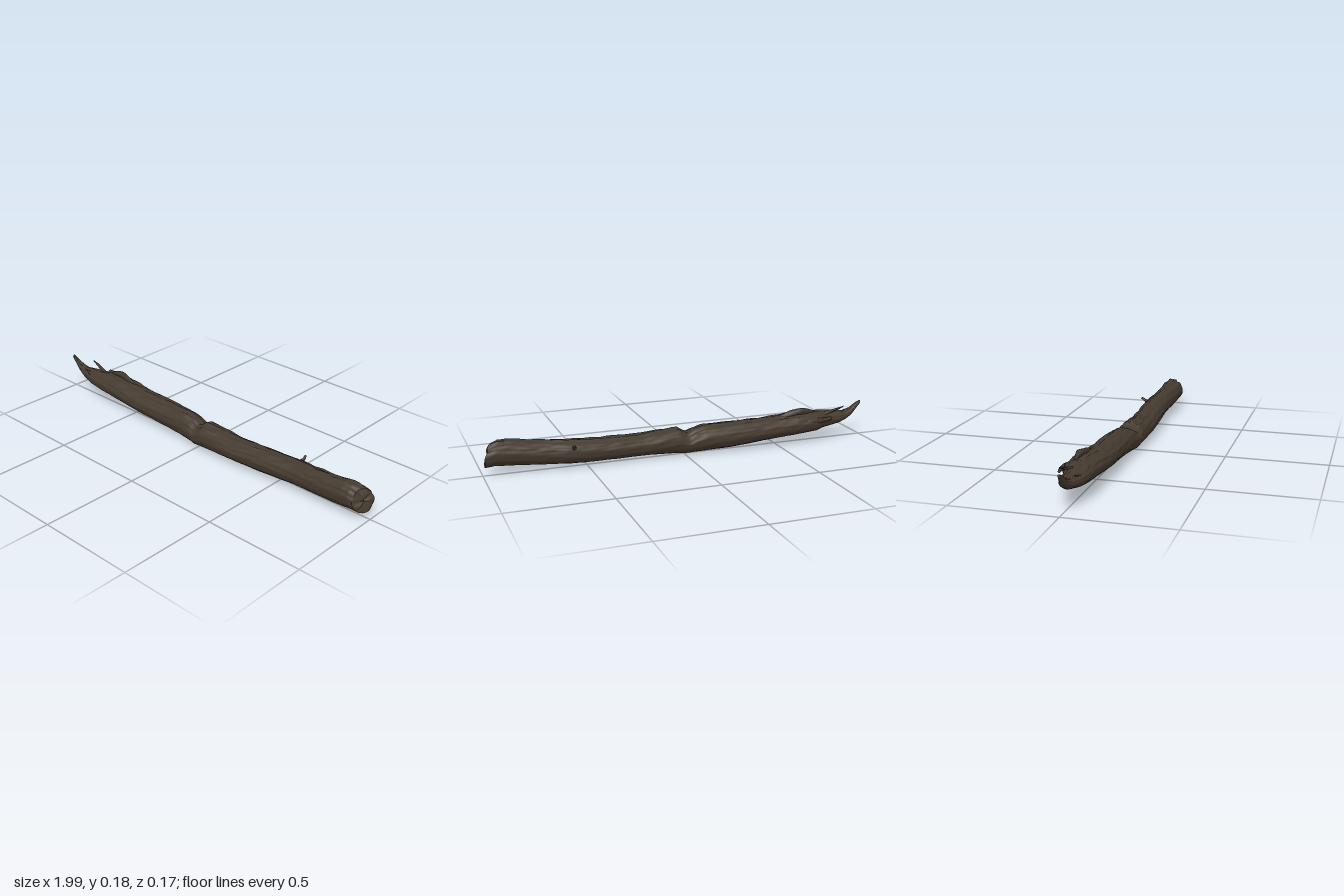
import * as THREE from 'three';

// Log outline along its length: x, bottom y, top y, back z, front z
const rows = [
  [-1.0, 0.17, 0.188, -0.004, 0.010], [-0.975, 0.143, 0.177, -0.010, 0.014],
  [-0.94, 0.110, 0.152, -0.022, 0.020], [-0.90, 0.090, 0.140, -0.032, 0.030],
  [-0.86, 0.080, 0.143, -0.048, 0.040], [-0.82, 0.072, 0.148, -0.050, 0.052],
  [-0.77, 0.065, 0.152, -0.062, 0.058], [-0.72, 0.056, 0.157, -0.084, 0.061],
  [-0.60, 0.045, 0.158, -0.087, 0.065], [-0.45, 0.034, 0.147, -0.084, 0.069],
  [-0.25, 0.017, 0.143, -0.077, 0.064], [-0.10, 0.009, 0.140, -0.064, 0.070],
  [-0.05, 0.007, 0.128, -0.060, 0.074], [-0.02, 0.005, 0.112, -0.056, 0.078],
  [0.005, 0.006, 0.120, -0.054, 0.080], [0.03, 0.008, 0.138, -0.053, 0.081],
  [0.12, 0.012, 0.133, -0.051, 0.084], [0.22, 0.015, 0.124, -0.050, 0.084],
  [0.40, 0.016, 0.129, -0.055, 0.075], [0.52, 0.018, 0.133, -0.060, 0.067],
  [0.60, 0.023, 0.138, -0.060, 0.064], [0.68, 0.028, 0.143, -0.048, 0.067],
  [0.80, 0.034, 0.154, -0.040, 0.074], [0.88, 0.039, 0.165, -0.037, 0.077],
  [0.95, 0.043, 0.164, -0.036, 0.077], [1.0, 0.038, 0.153, -0.034, 0.072],
];
const SIDES = 56, STEPS = 200;

function outline(x) {
  let i = 0;
  while (i < rows.length - 2 && x > rows[i + 1][0]) i++;
  const t = (x - rows[i][0]) / (rows[i + 1][0] - rows[i][0]);
  return rows[i].map((v, k) => v + (rows[i + 1][k] - v) * t);
}

// Long wandering grooves and bumps in the bark, strongest on top and to the broken end
function barkDepth(x, a) {
  const up = Math.max(0, Math.cos(a));
  const rough = 0.35 + 0.65 * up + (x < -0.5 ? 0.4 * up : 0);
  const grain = 0.0022 * Math.sin(11 * a + 4 * Math.sin(5 * x) + 3 * x)
    + 0.0016 * Math.sin(19 * a + 9 * x + 2 * Math.sin(17 * x))
    + 0.0018 * Math.sin(23 * x + 3 * a) * Math.sin(5 * a + 31 * x);
  const seam = (a0) => {
    const d = Math.atan2(Math.sin(a - a0), Math.cos(a - a0));
    return Math.exp(-d * d / 0.012);
  };
  const cracks = 0.008 * seam(0.35 + 0.3 * Math.sin(7 * x)) * Math.max(0, Math.sin(6 * x + 1))
    + 0.006 * seam(-0.6 + 0.25 * Math.sin(9 * x + 1)) * Math.max(0, Math.sin(5 * x + 4));
  return grain * rough - cracks;
}

function barkPoint(x, a) {
  const [, yb, yt, zb, zf] = outline(x);
  const ry = (yt - yb) / 2, rz = (zf - zb) / 2;
  const k = 1 + barkDepth(x, a) / 0.06;
  const y = (yb + yt) / 2 + Math.cos(a) * ry * k;
  const z = (zb + zf) / 2 + Math.sin(a) * rz * k;
  // Slanted cut at the right end
  const w = Math.max(0, (x - 0.88) / 0.12);
  const cut = w * (0.021 * (1 + Math.sin(a)) + 0.011 * (1 + Math.cos(a)) + 0.003 * Math.sin(5 * a));
  return new THREE.Vector3(x - cut, Math.max(0, y), z);
}

// Joins equal rings of points, running towards +x
function loft(rings) {
  const n = rings[0].length, index = [];
  for (let i = 0; i < rings.length - 1; i++) {
    for (let j = 0; j < n; j++) {
      const a = i * n + j, b = i * n + (j + 1) % n;
      index.push(a, b, a + n, b, b + n, a + n);
    }
  }
  const g = new THREE.BufferGeometry().setFromPoints(rings.flat());
  g.setIndex(index);
  g.computeVertexNormals();
  return g;
}

function ring(x) {
  return Array.from({ length: SIDES }, (_, j) => barkPoint(x, j / SIDES * Math.PI * 2));
}

// Rough end face made of shrinking rings
function endFace(x, dent) {
  const edge = ring(x);
  const mid = edge.reduce((s, p) => s.add(p), new THREE.Vector3()).divideScalar(SIDES);
  return loft([1, 0.9, 0.7, 0.45, 0.2, 0].map((s) => edge.map((p, j) => {
    const a = j / SIDES * Math.PI * 2;
    const q = mid.clone().lerp(p, s);
    q.x += dent * (1 - s) * s * (1 + 0.9 * Math.sin(3 * a + 4 * s) + 0.5 * Math.sin(7 * a));
    return q;
  })));
}

// Tapered bent splinter through a few points, with a radius at each
function splinter(points, radii, flat = 0.7) {
  const curve = new THREE.CatmullRomCurve3(points.map((p) => new THREE.Vector3(...p)));
  const n = 10, steps = 14, frames = curve.computeFrenetFrames(steps);
  const rings = [];
  for (let i = 0; i <= steps; i++) {
    const t = i / steps, f = t * (radii.length - 1), k = Math.min(radii.length - 2, Math.floor(f));
    const r = THREE.MathUtils.lerp(radii[k], radii[k + 1], f - k);
    const c = curve.getPointAt(t);
    rings.push(Array.from({ length: n }, (_, j) => {
      const a = j / n * Math.PI * 2, q = r * (1 + 0.15 * Math.sin(3 * a + 5 * t));
      return c.clone().addScaledVector(frames.normals[i], Math.cos(a) * q)
        .addScaledVector(frames.binormals[i], Math.sin(a) * q * flat);
    }));
  }
  const end = curve.getPointAt(1);
  rings.push(Array.from({ length: n }, () => end.clone()));
  return loft(rings);
}

export function createModel() {
  const group = new THREE.Group();
  const bark = new THREE.MeshStandardMaterial({ color: 0x443a2f });
  bark.name = 'bark brown';
  const wood = new THREE.MeshStandardMaterial({ color: 0x483d31 });
  wood.name = 'broken wood brown';
  const add = (name, geometry, material) => {
    const mesh = new THREE.Mesh(geometry, material);
    mesh.name = name;
    group.add(mesh);
    return mesh;
  };

  // Trunk
  add('trunk', loft(Array.from({ length: STEPS + 1 }, (_, i) => ring(-1 + 2 * i / STEPS))), bark);
  add('cutEnd', endFace(1, 0.02), wood);
  const tip = endFace(-1, 0);
  tip.setIndex([...tip.index.array].reverse());
  tip.computeVertexNormals();
  add('brokenTip', tip, bark);

  // Splinters at the broken end
  add('upperSplinter', splinter([[-0.76, 0.135, -0.02], [-0.81, 0.152, -0.03], [-0.845, 0.163, -0.036], [-0.88, 0.175, -0.038]],
    [0.016, 0.011, 0.008, 0.003]), bark);
  add('backSplinter', splinter([[-0.66, 0.115, -0.068], [-0.71, 0.122, -0.076], [-0.76, 0.126, -0.078], [-0.79, 0.128, -0.074]],
    [0.022, 0.017, 0.011, 0.009]), bark);
  add('frontSplinter', splinter([[-0.78, 0.12, 0.03], [-0.83, 0.132, 0.028], [-0.87, 0.142, 0.022]],
    [0.018, 0.011, 0.003]), bark);

  // Lifted bark on top near the broken end
  add('liftedBark', splinter([[-0.52, 0.14, -0.02], [-0.59, 0.158, -0.025], [-0.65, 0.168, -0.03], [-0.71, 0.157, -0.03]],
    [0.008, 0.014, 0.014, 0.005], 1.4), bark);

  // Broken twig on the back
  add('twigStub', splinter([[0.57, 0.105, -0.045], [0.575, 0.115, -0.06], [0.575, 0.128, -0.078]],
    [0.011, 0.007, 0.005], 1), bark);
  return group;
}
